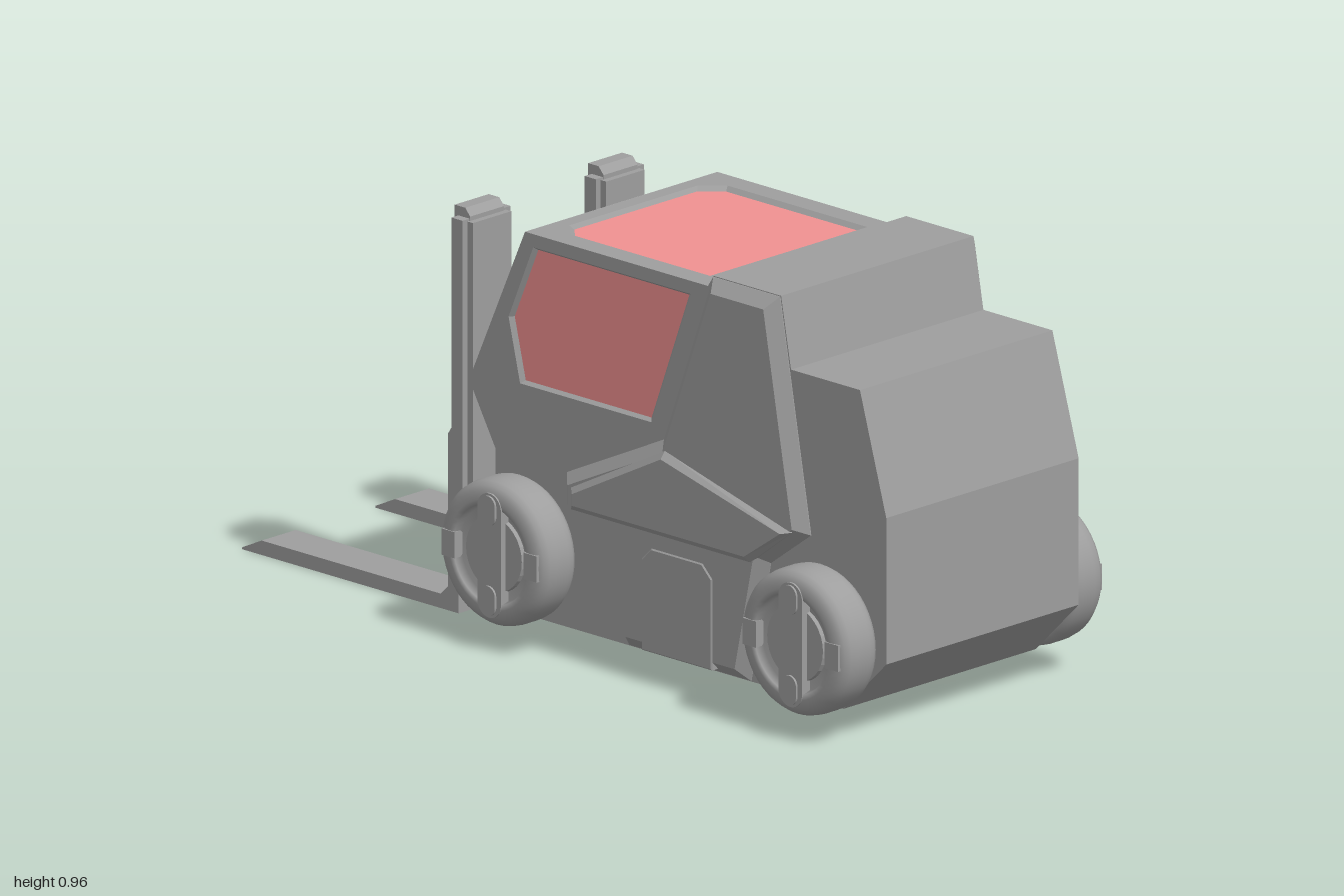
import * as THREE from 'three';

const grey = new THREE.MeshStandardMaterial({ color: 0x9e9e9e, flatShading: true });
const smooth = new THREE.MeshStandardMaterial({ color: 0x9e9e9e });
const trim = new THREE.MeshStandardMaterial({ color: 0x9e9e9e, flatShading: true, side: THREE.DoubleSide });
const glass = new THREE.MeshStandardMaterial({ color: 0xf19191 });

const toShape = (pts, hole) => {
  const s = new THREE.Shape(pts.map(p => new THREE.Vector2(...p)));
  if (hole) s.holes.push(new THREE.Path(hole.map(p => new THREE.Vector2(...p))));
  return s;
};

// Outline in its own plane, pushed out by depth, with an optional chamfer inside the outline
function slab(pts, depth, bevel = 0, hole) {
  const g = new THREE.ExtrudeGeometry(toShape(pts, hole), {
    depth: depth - 2 * bevel, bevelEnabled: bevel > 0, bevelThickness: bevel,
    bevelSize: bevel, bevelOffset: -bevel, bevelSegments: 1,
  });
  return g.translate(0, 0, bevel);
}

// Sloping window surround: from the outline at height depth down to a smaller outline
function bezel(pts, depth) {
  const n = pts.length;
  const mid = [0, 1].map(k => pts.reduce((sum, p) => sum + p[k], 0) / n);
  const position = [], index = [];
  pts.forEach((p, i) => {
    position.push(p[0], p[1], depth, ...p.map((v, k) => v + (mid[k] - v) * 0.05), 0);
    const a = 2 * i, b = 2 * ((i + 1) % n);
    index.push(a, b, b + 1, a, b + 1, a + 1);
  });
  const g = new THREE.BufferGeometry();
  g.setAttribute('position', new THREE.Float32BufferAttribute(position, 3));
  g.setIndex(index);
  g.computeVertexNormals();
  return g;
}

// Outline given as (z, y), filling x0..x1
const across = (pts, x0, x1, bevel, hole) =>
  slab(pts, x1 - x0, bevel, hole).rotateY(-Math.PI / 2).translate(x1, 0, 0);

export function createModel() {
  const model = new THREE.Group();
  const add = (name, geo, mat = grey, parent = model) => {
    const m = new THREE.Mesh(geo, mat);
    m.name = name;
    parent.add(m);
    return m;
  };
  const box = (x0, x1, y0, y1, z0, z1) => new THREE.BoxGeometry(x1 - x0, y1 - y0, z1 - z0)
    .translate((x0 + x1) / 2, (y0 + y1) / 2, (z0 + z1) / 2);
  // Same outline on both flanks, between distances a and b from the middle
  const flanks = (name, pts, a, b, { bevel = 0, hole, mat } = {}) => {
    add(name + 'Left', across(pts, a, b, bevel, hole), mat);
    add(name + 'Right', across(pts, -b, -a, bevel, hole), mat);
  };

  // Hull with counterweight and raised cowl
  add('hull', across([
    [0.87, 0.06], [1, 0.19], [1, 0.525], [0.92, 0.8], [0.71, 0.8], [0.68, 0.962], [0.475, 0.962],
    [0.457, 0.935], [0.45, 0.5], [-0.236, 0.5], [-0.19, 0.42], [-0.19, 0.31], [-0.26, 0.23], [-0.26, 0.06],
  ], -0.3, 0.3));

  // Cabin: inner core, then frame plates with window openings
  const t = 0.012;
  add('cabinCore', across([
    [0.44, 0.48], [0.44, 0.923], [-0.092, 0.923], [-0.257, 0.56], [-0.225, 0.48],
  ], -0.288, 0.288));
  const sideWindow = [[0.405, 0.905], [-0.075, 0.905], [-0.15, 0.73], [-0.115, 0.585], [0.285, 0.585]];
  flanks('cabinSideFrame', [[0.46, 0.5], [0.46, 0.935], [-0.1, 0.935], [-0.27, 0.56], [-0.236, 0.5]],
    0.288, 0.3, { hole: sideWindow });
  flanks('sideWindow', sideWindow, 0.286, 0.29, { mat: glass });
  for (const s of [1, -1]) {
    add('sideWindowBezel', bezel(sideWindow, -s * t).rotateY(-Math.PI / 2).translate(s * 0.288, 0, 0), trim);
  }

  const roofWindow = [[-0.245, -0.41], [0.245, -0.41], [0.245, 0.015], [0.2, 0.063], [-0.2, 0.063], [-0.245, 0.015]];
  const roofRim = [[-0.3, -0.46], [0.3, -0.46], [0.3, 0.1], [-0.3, 0.1]];
  const layRoof = g => g.rotateX(-Math.PI / 2).translate(0, 0.923, 0);
  add('roofFrame', layRoof(slab(roofRim, t, 0, roofWindow)));
  add('roofBezel', layRoof(bezel(roofWindow, t)), trim);
  add('roofWindow', layRoof(slab(roofWindow, 0.002)), glass);

  // Sloping windscreen
  const up = new THREE.Vector3(0, 0.375, 0.17).normalize();
  const out = new THREE.Vector3(0, up.z, -up.y);
  const slope = new THREE.Matrix4().makeBasis(new THREE.Vector3(-1, 0, 0), up, out)
    .setPosition(new THREE.Vector3(0, 0.56, -0.27).addScaledVector(out, -t));
  const rect = (w, a, b) => [[-w, a], [w, a], [w, b], [-w, b]];
  const pane = rect(0.28, 0.02, 0.368);
  add('windscreenFrame', slab(rect(0.3, 0, 0.412), t, 0, pane).applyMatrix4(slope));
  add('windscreenBezel', bezel(pane, t).applyMatrix4(slope), trim);
  add('windscreen', slab(pane, 0.002).applyMatrix4(slope), glass);

  // Chamfered side armour, raised pod and service hatch
  flanks('sidePanel', [
    [0.678, 0.96], [0.475, 0.96], [0.325, 0.555], [0.03, 0.415], [0.03, 0.345], [0.22, 0.062],
    [0.59, 0.062], [0.65, 0.345], [0.772, 0.435],
  ], 0.24, 0.33, { bevel: 0.028 });
  flanks('sidePod', [[0.74, 0.44], [0.355, 0.542], [0.07, 0.395], [0.07, 0.345], [0.615, 0.345]],
    0.3, 0.345, { bevel: 0.015 });
  flanks('serviceHatch', [
    [0.5, 0.072], [0.5, 0.28], [0.47, 0.31], [0.315, 0.31], [0.285, 0.28], [0.285, 0.072],
  ], 0.31, 0.333, { bevel: 0.003 });

  // Wheels: tyre with a sunken hub, crossbar and end pads
  const tyre = new THREE.LatheGeometry([
    [0, 0], [0.143, 0], [0.157, 0.006], [0.164, 0.018], [0.166, 0.032], [0.166, 0.07], [0.163, 0.088],
    [0.155, 0.1], [0.143, 0.107], [0.125, 0.11], [0.113, 0.108], [0.108, 0.088], [0, 0.088],
  ].map(p => new THREE.Vector2(...p)), 48).rotateZ(-Math.PI / 2);
  const capsule = (w, h, depth) => {
    const s = new THREE.Shape();
    s.absarc(0, h - w, w, 0, Math.PI);
    s.absarc(0, w - h, w, Math.PI, 2 * Math.PI);
    return new THREE.ExtrudeGeometry(s, { depth, bevelEnabled: false, curveSegments: 10 })
      .rotateY(Math.PI / 2);
  };
  for (const side of [1, -1]) for (const [end, z] of [['front', 0.817], ['back', -0.1]]) {
    const wheel = new THREE.Group();
    wheel.name = end + (side > 0 ? 'LeftWheel' : 'RightWheel');
    wheel.position.set(0.3 * side, 0.22, z);
    wheel.rotation.y = side > 0 ? 0 : Math.PI;
    model.add(wheel);
    add('tyre', tyre, smooth, wheel);
    add('hub', new THREE.CylinderGeometry(0.085, 0.09, 0.02, 32).rotateZ(-Math.PI / 2).translate(0.087, 0, 0), grey, wheel);
    add('crossbar', capsule(0.036, 0.142, 0.072).translate(0.04, 0, 0), grey, wheel);
    for (const s of [1, -1]) {
      add('barPad', capsule(0.022, 0.034, 0.03).translate(0.087, s * 0.103, 0), grey, wheel);
      add('rimClip', box(0.085, 0.112, -0.03, 0.03, -0.02, 0.02).translate(0, 0, s * 0.125), grey, wheel);
    }
  }

  // Twin masts with lifting forks
  for (const side of [1, -1]) {
    const mast = new THREE.Group();
    mast.name = side > 0 ? 'leftMast' : 'rightMast';
    mast.position.x = 0.208 * side;
    model.add(mast);
    add('mastBracket', box(-0.06, 0.06, 0.16, 0.25, -0.3, -0.22), grey, mast);
    add('mastBackRail', box(-0.06, 0.06, 0.06, 0.905, -0.315, -0.29), grey, mast);
    add('mastRail', box(-0.075, 0.075, 0.06, 0.91, -0.341, -0.307), grey, mast);
    add('mastSlide', across([
      [-0.305, 0.06], [-0.305, 0.915], [-0.32, 0.932], [-0.352, 0.932], [-0.352, 0.06],
    ], -0.053, 0.053), grey, mast);
    add('fork', across([
      [-0.34, 0], [-0.34, 0.42], [-0.362, 0.42], [-0.372, 0.405], [-0.372, 0.055], [-0.395, 0.033],
      [-0.94, 0.033], [-1, 0.004], [-1, 0],
    ], -0.053, 0.053), grey, mast);
  }
  return model;
}
